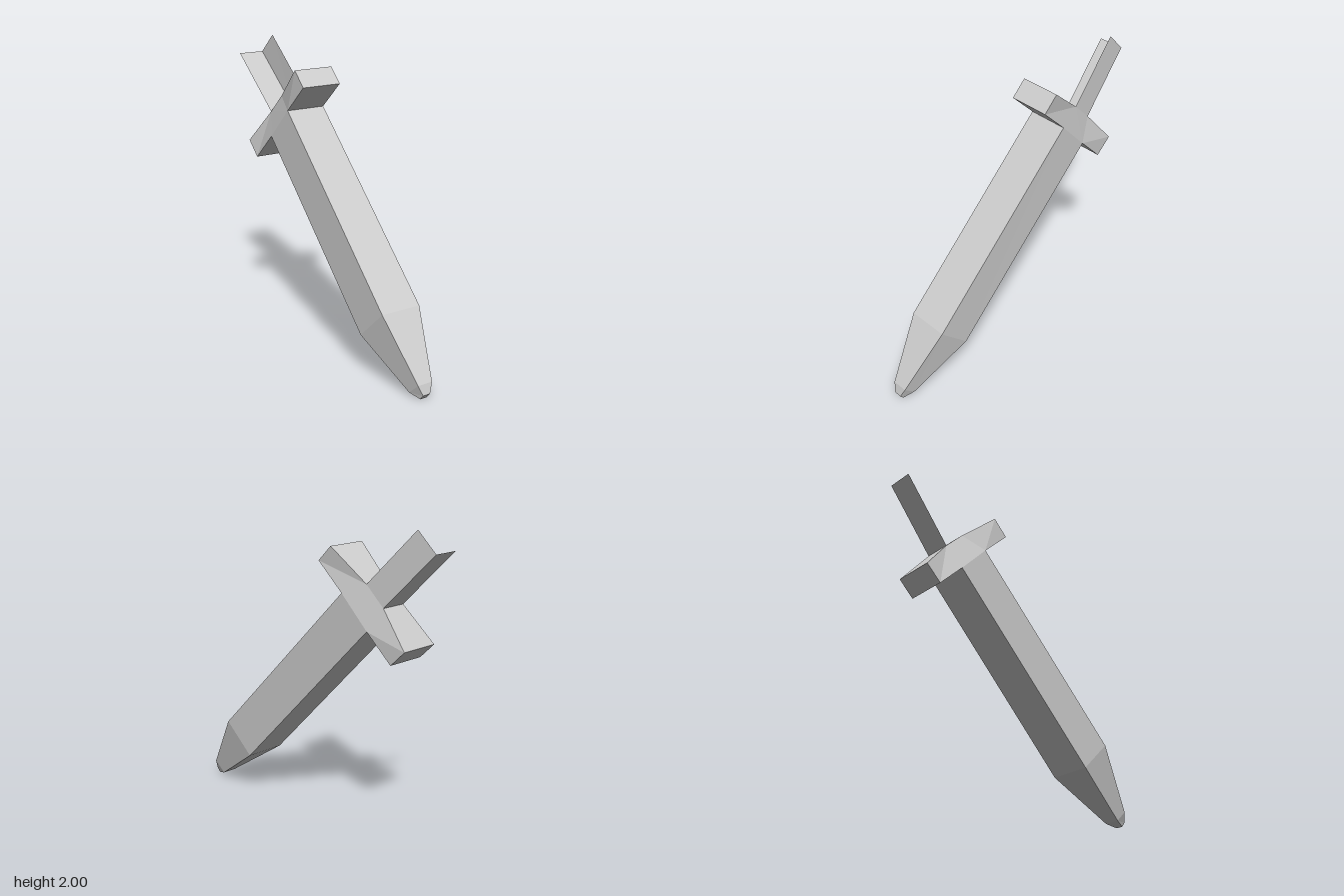
import * as THREE from 'three';

const ALL = [0, 1, 2, 3]; // section sides: upper, -x, lower, +x

// A cross-section is two edges [y, z, xMin, xMax]: upper edge, lower edge.
function corners([u, l]) {
  return [[u[3], u[0], u[1]], [u[2], u[0], u[1]], [l[2], l[0], l[1]], [l[3], l[0], l[1]]];
}

// Joins successive four-cornered sections, with optional end caps.
function loft(name, sections, { sides = ALL, first = false, last = false } = {}) {
  const rings = sections.map(corners);
  const pos = [];
  const quad = (a, b, c, d) => [a, b, c, a, c, d].forEach((p) => pos.push(...p));
  for (let r = 0; r < rings.length - 1; r++) {
    const p = rings[r], q = rings[r + 1];
    for (const i of sides) {
      const j = (i + 1) % 4;
      quad(p[i], q[i], q[j], p[j]);
    }
  }
  if (first) quad(...rings[0]);
  if (last) quad(...rings[rings.length - 1].slice().reverse());
  const geo = new THREE.BufferGeometry();
  geo.setAttribute('position', new THREE.Float32BufferAttribute(pos, 3));
  geo.computeVertexNormals();
  const mat = new THREE.MeshStandardMaterial({
    color: 0xcccccc, flatShading: true, side: THREE.DoubleSide,
  });
  const mesh = new THREE.Mesh(geo, mat);
  mesh.name = name;
  return mesh;
}

export function createModel() {
  const group = new THREE.Group();
  group.name = 'sword';

  // edges of the guard's centre block, shared by blade, arms and grip
  const frontUpper = [1.57, -0.36, -0.135, 0.145];
  const frontLower = [1.36, -0.56, -0.147, 0.135];
  const backUpper = [1.64, -0.52, -0.085, 0.097];
  const backLower = [1.51, -0.65, -0.093, 0.089];

  // blade, from the blunt tip up to the guard
  group.add(loft('blade', [
    [[0.035, 1.0, -0.02, 0.033], [0.003, 0.975, -0.022, 0.03]],
    [[0.1, 0.98, -0.045, 0.062], [0.025, 0.9, -0.05, 0.056]],
    [[0.49, 0.72, -0.13, 0.155], [0.285, 0.51, -0.142, 0.143]],
    [frontUpper, frontLower],
  ], { first: true }));

  // guard: centre block and two flared arms
  const guard = new THREE.Group();
  guard.name = 'guard';
  guard.add(
    loft('guardCentre', [[frontUpper, frontLower], [backUpper, backLower]],
      { sides: [1, 3], last: true }),
    loft('upperGuardArm', [
      [[1.85, -0.275, -0.128, 0.155], [1.75, -0.175, -0.127, 0.156]],
      [backUpper, frontUpper],
    ], { first: true }),
    loft('lowerGuardArm', [
      [[1.18, -0.74, -0.16, 0.12], [1.28, -0.845, -0.16, 0.12]],
      [frontLower, backLower],
    ], { first: true }),
  );
  group.add(guard);

  // grip: an open angle of two walls, the lower one and the +x one
  group.add(loft('grip', [
    [backUpper, backLower],
    [[2.0, -0.87, -0.125, 0.055], [1.87, -1.0, -0.135, 0.045]],
  ], { sides: [2, 3] }));

  return group;
}
